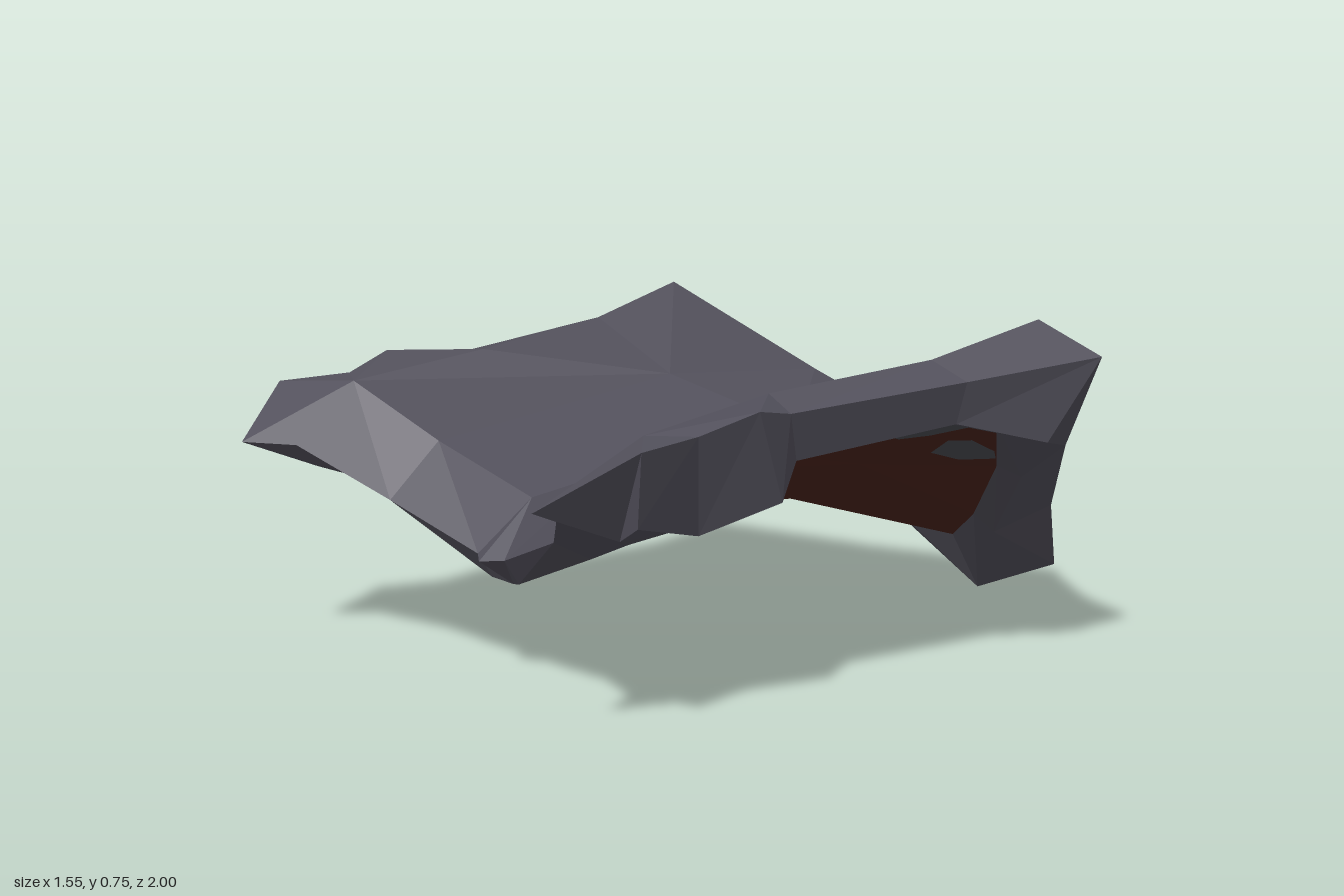
import * as THREE from 'three';

const shellGrey = new THREE.MeshStandardMaterial({ color: 0x52505b, flatShading: true });
shellGrey.name = 'slate shell';
const blotchGrey = new THREE.MeshStandardMaterial({ color: 0x4c4d54, flatShading: true });
blotchGrey.name = 'blotch grey';
const rust = new THREE.MeshStandardMaterial({ color: 0x4c241c, flatShading: true });
rust.name = 'dark rust';

// Points shared by several cross-sections
const T0 = [0, 0.46, -0.12], T1 = [0.35, 0.56, -0.02];   // dish
const U0 = [0, 0.295, -0.1], U1 = [0.32, 0.425, -0.02];  // underside
const brow = [0, 0.38, 0.62];                            // crease at the front notch
const horn = [0.54, 0.585, 0.73];                        // crease at the front corner
const heel = [0.45, 0.37, 0.59];                         // lip behind the front claw
const pit = [0.5, 0.485, 0.44];                          // rust edge at the front corner

// Half cross-sections from the back tip round to the front notch:
// dish, crease, outer rim, lower rim, (inner lip,) rust edge, underside centre
const sections = [
  [T0, [0, 0.34, -0.68], [0, 0.02, -1], [0, 0, -0.72], [0, 0.145, -0.63], U0],
  [T0, [0.18, 0.435, -0.585], [0.16, 0.22, -0.81], [0.17, 0.18, -0.6], [0.16, 0.23, -0.54], U0],
  [T1, [0.36, 0.535, -0.49], [0.45, 0.43, -0.54], [0.4, 0.36, -0.45], [0.36, 0.385, -0.41], U1],
  [T1, [0.63, 0.75, -0.25], [0.775, 0.68, -0.29], [0.71, 0.5, -0.2], [0.57, 0.53, -0.19], U1],
  [T1, [0.585, 0.68, 0.02], [0.67, 0.64, 0], [0.64, 0.55, 0], [0.55, 0.55, 0], U1],
  [T1, [0.515, 0.635, 0.4], [0.63, 0.61, 0.44], [0.6, 0.51, 0.4], [0.52, 0.51, 0.38], U1],
  [T1, horn, [0.68, 0.63, 0.56], [0.64, 0.44, 0.47], pit, U1],
  [T1, horn, [0.645, 0.59, 0.68], [0.58, 0.385, 0.63], heel, pit, U1],
  [T1, horn, [0.68, 0.58, 0.84], [0.64, 0.43, 0.82], heel, pit, U1],
  [T1, horn, [0.56, 0.47, 1], [0.57, 0.395, 0.81], heel, pit, U1],
  [T1, horn, [0.5, 0.46, 0.9], [0.48, 0.37, 0.74], heel, pit, U1],
  [T0, [0.3, 0.47, 0.66], [0.31, 0.35, 0.78], [0.31, 0.305, 0.69], [0.22, 0.3, 0.53], [0.3, 0.4, 0.45], U0],
  [T0, brow, [0.05, 0.265, 0.725], [0.05, 0.21, 0.69], [0.05, 0.25, 0.475], [0.05, 0.32, 0.32], U0],
  [T0, brow, [0, 0.26, 0.755], [0, 0.2, 0.67], [0, 0.245, 0.47], [0, 0.31, 0.3], U0],
].map(s => (s.length === 7 ? s : [...s.slice(0, 5), s[4], s[5]]));

// Adds a triangle and its mirror image, skipping collapsed ones
function addTri(out, a, b, c) {
  if (a === b || b === c || a === c) return;
  const flip = ([x, y, z]) => [-x, y, z];
  out.push(...a, ...b, ...c, ...flip(a), ...flip(c), ...flip(b));
}

function toMesh(name, positions, material) {
  const g = new THREE.BufferGeometry();
  g.setAttribute('position', new THREE.Float32BufferAttribute(positions, 3));
  g.computeVertexNormals();
  const mesh = new THREE.Mesh(g, material);
  mesh.name = name;
  return mesh;
}

// Skin between two neighbouring points of every cross-section
function band(name, k, material) {
  const out = [];
  for (let i = 0; i < sections.length - 1; i++) {
    const a = sections[i], b = sections[i + 1];
    addTri(out, a[k], b[k + 1], a[k + 1]);
    addTri(out, a[k], b[k], b[k + 1]);
  }
  return toMesh(name, out, material);
}

// Thin blotch under the facet o-p-q, outlined by [u, v] along its two edges
function addBlotch(out, o, p, q, outline) {
  const O = new THREE.Vector3(...o);
  const e1 = new THREE.Vector3(...p).sub(O), e2 = new THREE.Vector3(...q).sub(O);
  const n = e1.clone().cross(e2).normalize().multiplyScalar(0.004);
  const pts = outline.map(([u, v]) =>
    O.clone().addScaledVector(e1, u).addScaledVector(e2, v).add(n).toArray());
  for (let i = 1; i < pts.length - 1; i++) addTri(out, pts[0], pts[i], pts[i + 1]);
}

export function createModel() {
  const model = new THREE.Group();
  model.name = 'shellPlate';
  model.add(
    band('dish', 0, shellGrey),
    band('raisedRim', 1, shellGrey),
    band('rimSide', 2, shellGrey),
    band('underLip', 3, shellGrey),
    band('innerLip', 4, shellGrey),
    band('rustyUnderside', 5, rust),
  );

  // Irregular grey blotches near the rust edge
  const blotches = [];
  const [C, D, E, F] = [2, 3, 4, 5].map(i => sections[i][5]);
  addBlotch(blotches, U1, D, E, [[0.9, 0.1], [0, 1], [0, 0.6], [0.35, 0.35], [0.6, 0.25]]);
  addBlotch(blotches, U1, E, F, [[1, 0], [0.7, 0.3], [0.62, 0.2], [0.6, 0]]);
  addBlotch(blotches, U1, C, D, [[0.05, 0.6], [0.2, 0.32], [0.55, 0.17], [0.78, 0.21], [0.6, 0.38], [0.2, 0.62]]);
  model.add(toMesh('undersideBlotches', blotches, blotchGrey));
  return model;
}
